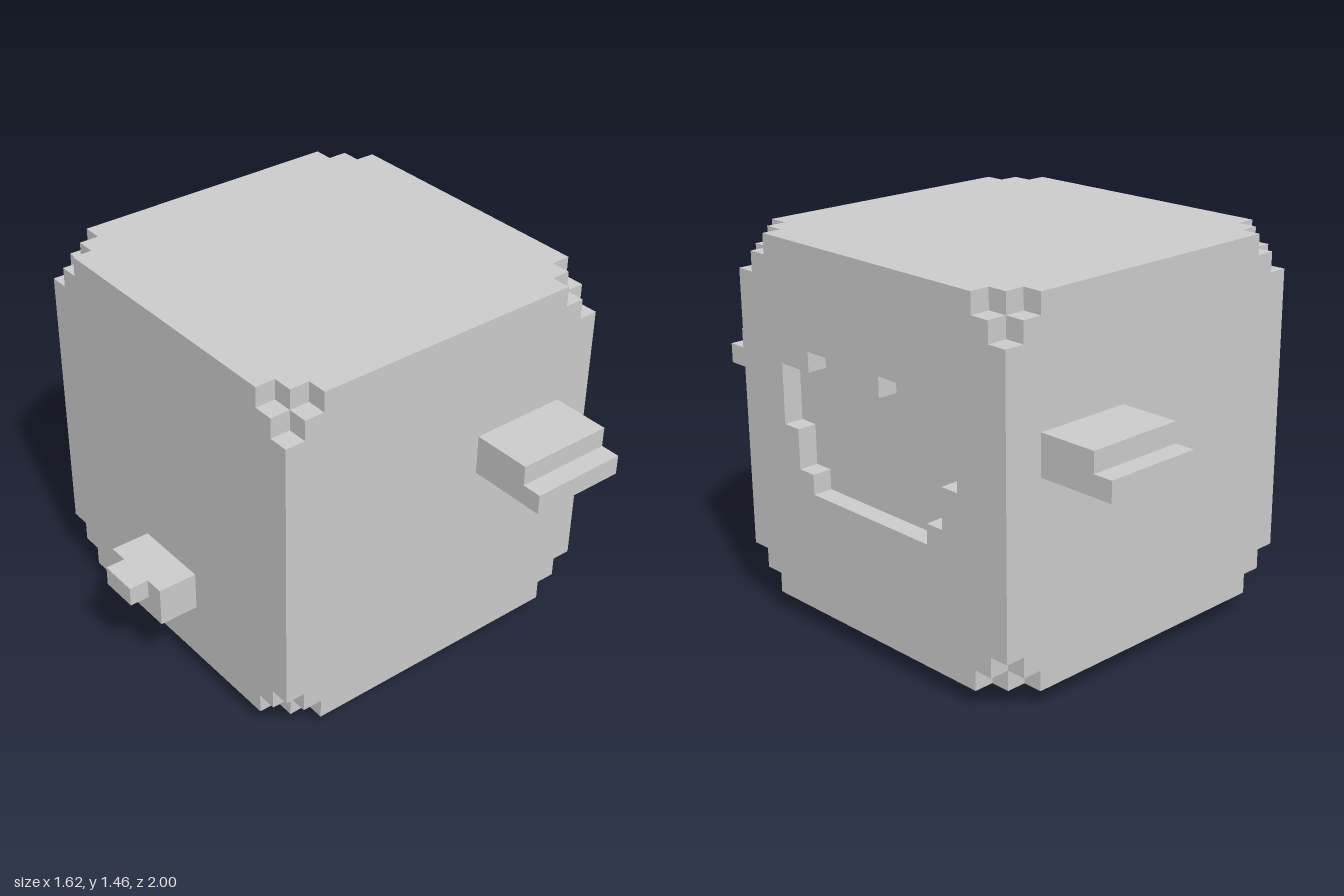
import * as THREE from 'three';

const U = 1 / 13; // one block
const material = new THREE.MeshStandardMaterial({ color: 0xcccccc, flatShading: true });

// Box given by its extents in blocks
function block(name, [x0, x1], [y0, y1], [z0, z1]) {
  const geometry = new THREE.BoxGeometry((x1 - x0) * U, (y1 - y0) * U, (z1 - z0) * U);
  geometry.translate((x0 + x1) / 2 * U, (y0 + y1) / 2 * U, (z0 + z1) / 2 * U);
  const mesh = new THREE.Mesh(geometry, material);
  mesh.name = name;
  return mesh;
}

// Square outline, 18 blocks wide, with stepped corners, centred on the body
function notchedSquare(steps) {
  const corner = [
    [[0, 0]],
    [[0, 1], [1, 1], [1, 0]],
    [[0, 2], [1, 2], [1, 1], [2, 1], [2, 0]],
  ][steps];
  const points = [];
  for (let quarter = 0; quarter < 4; quarter++) {
    for (const [a, b] of corner) {
      const p = new THREE.Vector2(9 - a, 9 - b);
      p.rotateAround(new THREE.Vector2(), quarter * Math.PI / 2);
      points.push(new THREE.Vector2(Math.round(p.x) * U, (Math.round(p.y) + 10) * U));
    }
  }
  return new THREE.Shape(points);
}

// Slice of the body between two x positions in blocks
function slice(name, steps, x0, x1, hole) {
  const shape = notchedSquare(steps);
  if (hole) shape.holes.push(hole);
  const geometry = new THREE.ExtrudeGeometry(shape, { depth: (x1 - x0) * U, bevelEnabled: false });
  geometry.rotateY(Math.PI / 2).translate(x0 * U, 0, 0);
  const mesh = new THREE.Mesh(geometry, material);
  mesh.name = name;
  return mesh;
}

export function createModel() {
  const model = new THREE.Group();
  model.name = 'blockCreature';

  // Recessed face outline: half of it, then its mirror image
  const half = [[1, 13], [1, 14], [4, 14], [4, 13], [6, 13], [6, 10], [5, 10], [5, 8], [4, 8], [4, 7]];
  const outline = [...half, ...half.map(([z, y]) => [-z, y]).reverse()];
  const faceRecess = new THREE.Path(outline.map(([z, y]) => new THREE.Vector2(z * U, y * U)));

  // Body in slices, so that the corners are stepped in all three directions
  const body = new THREE.Group();
  body.name = 'body';
  body.add(
    slice('rearSlice', 2, -7.5, -6.5),
    slice('rearInnerSlice', 1, -6.5, -5.5),
    slice('middle', 0, -5.5, 8.5),
    slice('faceInnerSlice', 1, 8.5, 9.5),
    slice('faceSlice', 2, 9.5, 10.5, faceRecess),
  );
  model.add(body);

  for (const s of [1, -1]) {
    const span = (a, b) => (s > 0 ? [a, b] : [-b, -a]);

    // Arm with a thinner tip
    const arm = new THREE.Group();
    arm.name = s > 0 ? 'frontArm' : 'backArm';
    arm.add(
      block('armBase', [3.5, 8.5], [11, 13], span(9, 12)),
      block('armTip', [3.5, 8.5], [11, 12], span(12, 13)),
    );
    model.add(arm);

    // Feet
    for (const x of [-5.5, 3.5]) model.add(block('foot', [x, x + 4], [0, 1], span(3, 6)));
  }

  // Tail
  const tail = new THREE.Group();
  tail.name = 'tail';
  tail.add(
    block('tailBase', [-9.5, -7.5], [4, 6], [-2, 2]),
    block('tailTip', [-10.5, -9.5], [5, 6], [-1, 1]),
  );
  model.add(tail);

  return model;
}
